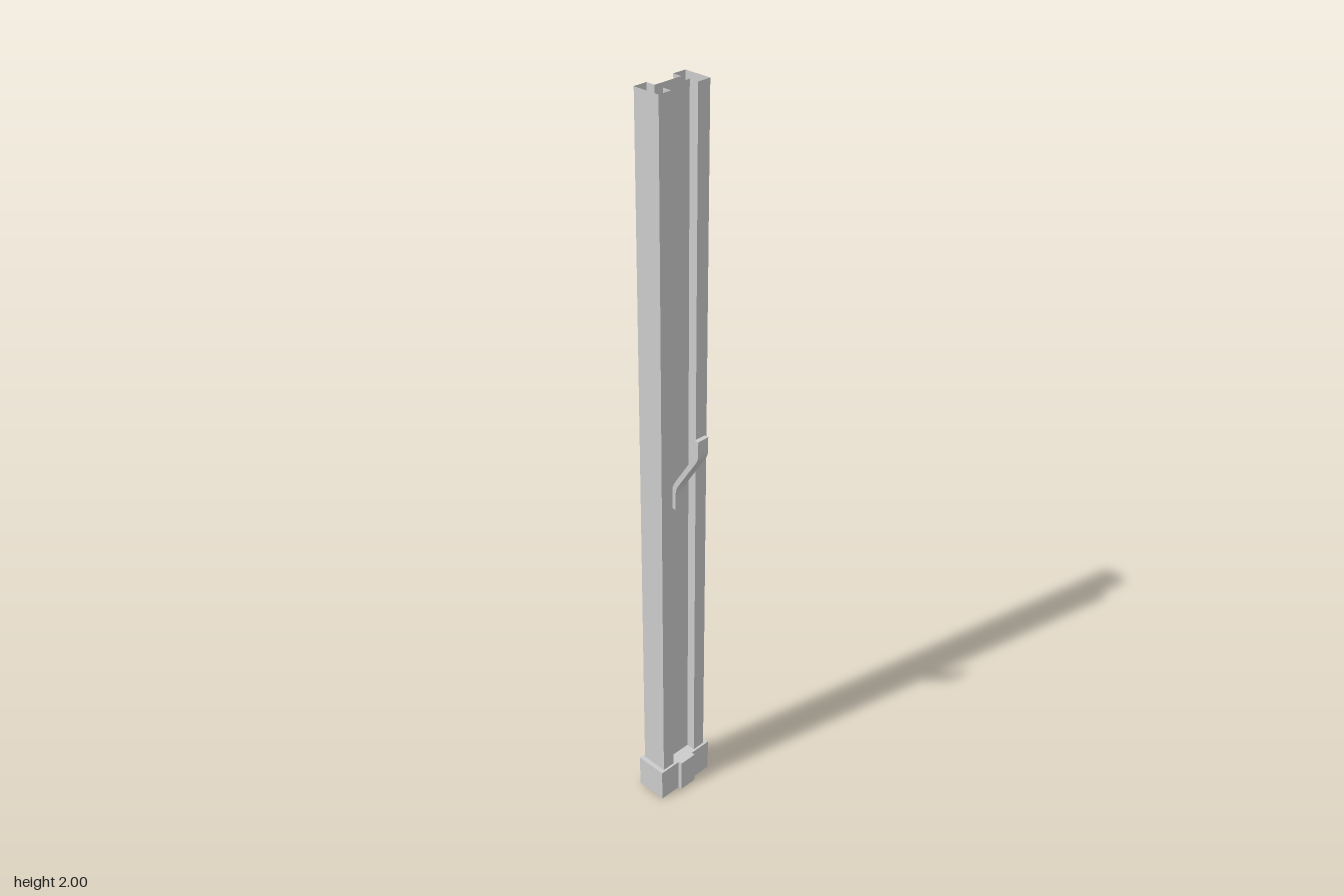
import * as THREE from 'three';
import { toCreasedNormals } from 'three/addons/utils/BufferGeometryUtils.js';

const HEIGHT = 2, BASE_HEIGHT = 0.095, CENTRE_Z = -0.0245;

// Mirrors a quarter outline (listed from +x edge centre to +z edge centre) into a closed symmetric one
function fourfold(quarter) {
  const back = [...quarter].reverse();
  return [
    ...quarter,
    ...back.map(([x, z]) => [-x, z]),
    ...quarter.map(([x, z]) => [-x, -z]),
    ...back.map(([x, z]) => [x, -z]),
  ];
}

// Open-ended upright walls following an outline
function walls(outline, y0, y1) {
  const pos = [];
  outline.forEach(([ax, az], i) => {
    const [bx, bz] = outline[(i + 1) % outline.length];
    pos.push(ax, y0, az, bx, y1, bz, bx, y0, bz);
    pos.push(ax, y0, az, ax, y1, az, bx, y1, bz);
  });
  const geo = new THREE.BufferGeometry();
  geo.setAttribute('position', new THREE.Float32BufferAttribute(pos, 3));
  geo.computeVertexNormals();
  return geo;
}

export function createModel() {
  const group = new THREE.Group();
  const grey = new THREE.MeshStandardMaterial({ color: 0xcccccc });
  const sheet = new THREE.MeshStandardMaterial({ color: 0xcccccc, side: THREE.DoubleSide });
  const add = (name, geo, mat) => {
    const mesh = new THREE.Mesh(geo, mat);
    mesh.name = name;
    group.add(mesh);
    return mesh;
  };

  // Hollow H-section post, open at the top
  const section = fourfold([[0.077, 0.0375], [0.04, 0.0375], [0.04, 0.0125]]);
  add('post', walls(section, BASE_HEIGHT, HEIGHT), sheet).position.z = CENTRE_Z;

  // Cross-shaped foot block
  const plan = fourfold([[0.09, 0.044], [0.026, 0.044], [0.026, 0.0545]]);
  const footShape = new THREE.Shape(plan.map(([x, z]) => new THREE.Vector2(x, z)));
  const foot = new THREE.ExtrudeGeometry(footShape, { depth: BASE_HEIGHT, bevelEnabled: false });
  foot.rotateX(-Math.PI / 2);
  add('foot', foot, grey).position.z = CENTRE_Z;

  // Bent flat hook on the front of the web, drawn in side profile (z, y)
  const side = new THREE.Shape();
  side.moveTo(-0.012, 0.925);
  side.lineTo(0, 0.925);
  side.lineTo(0, 0.965);
  side.quadraticCurveTo(0, 0.985, 0.01, 1.0);
  side.lineTo(0.068, 1.09);
  side.quadraticCurveTo(0.077, 1.103, 0.077, 1.12);
  side.lineTo(0.077, 1.155);
  side.lineTo(0.065, 1.155);
  side.lineTo(0.065, 1.125);
  side.quadraticCurveTo(0.065, 1.11, 0.057, 1.098);
  side.lineTo(-0.002, 1.005);
  side.quadraticCurveTo(-0.012, 0.99, -0.012, 0.97);
  side.closePath();
  const width = 0.034;
  const hook = new THREE.ExtrudeGeometry(side, { depth: width, bevelEnabled: false, curveSegments: 6 });
  hook.translate(0, 0, -width / 2);
  hook.rotateY(-Math.PI / 2);
  add('hook', toCreasedNormals(hook, 0.6), grey);

  return group;
}
